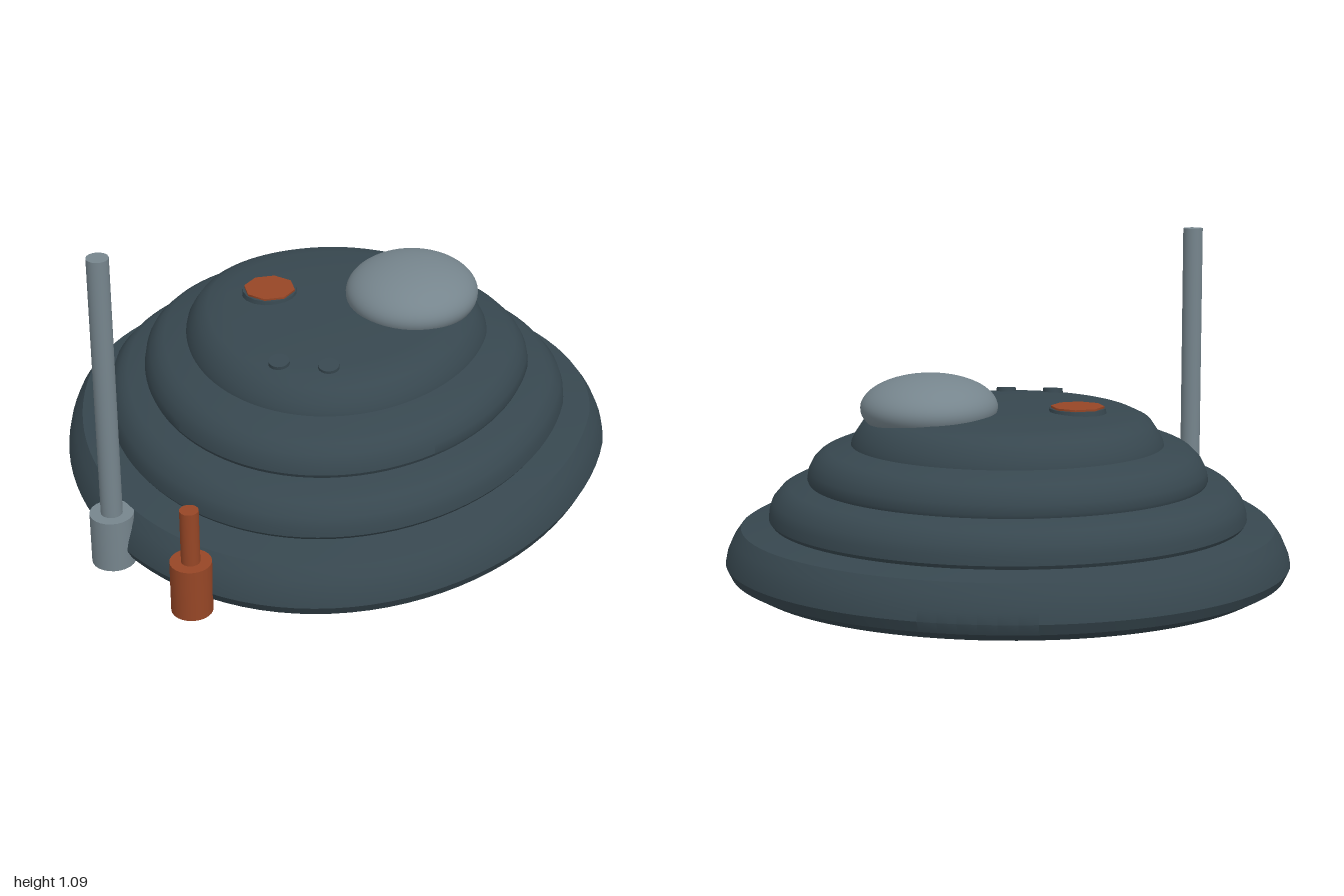
import * as THREE from 'three';
import { toCreasedNormals } from 'three/addons/utils/BufferGeometryUtils.js';

const mat = (name, color) => new THREE.MeshStandardMaterial({ name, color });

export function createModel() {
  const slate = mat('slate', 0x37474f);
  const grey = mat('grey', 0x76858d);
  const rust = mat('rust', 0x964626);
  const model = new THREE.Group();
  model.name = 'tieredHull';

  const add = (name, geometry, material, x, y, z, parent = model) => {
    const mesh = new THREE.Mesh(geometry, material);
    mesh.name = name;
    mesh.position.set(x, y, z);
    parent.add(mesh);
    return mesh;
  };

  // Stepped body: a lathe profile (half width, height) stretched to an egg plan
  const profile = [
    [0, 0], [0.86, 0], [0.915, 0.03], [0.932, 0.065], [0.925, 0.1], [0.905, 0.145], [0.88, 0.18], [0.85, 0.186], [0.78, 0.198],
    [0.788, 0.21], [0.785, 0.24], [0.775, 0.27], [0.745, 0.305], [0.72, 0.316], [0.655, 0.328],
    [0.66, 0.34], [0.655, 0.37], [0.64, 0.4], [0.615, 0.425], [0.59, 0.435], [0.515, 0.452],
    [0.512, 0.465], [0.5, 0.488], [0.475, 0.525], [0.44, 0.542], [0.38, 0.551], [0.2, 0.56], [0, 0.562],
  ].map(([r, y]) => new THREE.Vector2(r, y));
  const egg = new THREE.LatheGeometry(profile, 96);
  const p = egg.attributes.position;
  for (let i = 0; i < p.count; i++) {
    const x = p.getX(i), z = p.getZ(i), r = Math.hypot(x, z);
    const s = r > 0 ? Math.max(0, z / r) : 0;
    p.setX(i, x * (1 - 0.05 * s));
    p.setZ(i, z * (z > 0 ? 1.2 : 0.914) - 0.15);
  }
  add('body', toCreasedNormals(egg, 0.6), slate, 0, 0, 0);

  // Flattened dome on the left of the deck
  const dome = add('dome', new THREE.SphereGeometry(1, 48, 32), grey, 0.252, 0.575, -0.2);
  dome.scale.set(0.225, 0.108, 0.243);

  // Eight-sided hatch with a dark rim
  const hatch = new THREE.Group();
  hatch.name = 'hatch';
  model.add(hatch);
  add('hatchRim', new THREE.CylinderGeometry(0.092, 0.097, 0.025, 16), slate, -0.23, 0.558, -0.14, hatch);
  add('hatchLid', new THREE.CylinderGeometry(0.088, 0.088, 0.03, 8), rust, -0.23, 0.562, -0.14, hatch);

  // Two small buttons near the front, tipped forward with the deck
  for (const x of [-0.11, 0.053]) {
    add('button', new THREE.CylinderGeometry(0.034, 0.036, 0.03, 20), slate, x, 0.546, 0.317).rotation.x = 0.2;
  }

  // Posts standing in round sockets at the front right edge
  const post = (name, material, x, z, baseR, poleR, top) => {
    const g = new THREE.Group();
    g.name = name;
    g.position.set(x, 0, z);
    model.add(g);
    add('socket', new THREE.CylinderGeometry(baseR, baseR, 0.18, 24), material, 0, 0.09, 0, g);
    add('pole', new THREE.CylinderGeometry(poleR, poleR, top - 0.18, 24), material, 0, (top + 0.18) / 2, 0, g);
  };
  post('tallPost', grey, -0.582, 0.712, 0.071, 0.035, 1.09);
  post('shortPost', rust, -0.274, 0.933, 0.066, 0.03, 0.367);

  return model;
}
